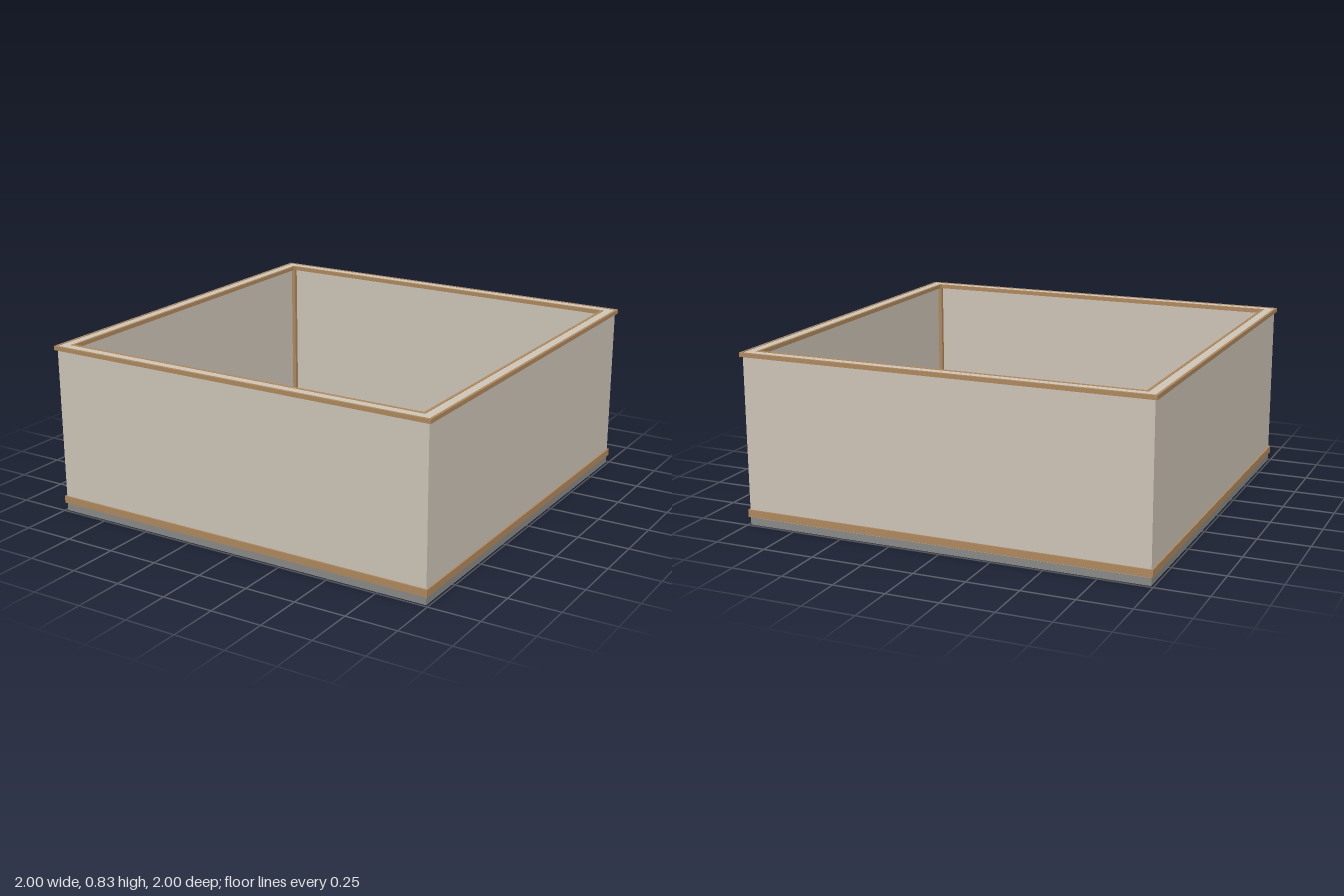
import * as THREE from 'three';

const mat = (name, color) => {
  const m = new THREE.MeshStandardMaterial({ color });
  m.name = name;
  return m;
};

export function createModel() {
  const plaster = mat('plaster', 0xcfc6b8);
  const wood = mat('wood', 0xb08a5f);
  const stone = mat('stone', 0x8a8a88);
  const group = new THREE.Group();

  const box = (name, material, w, h, d, x, y, z) => {
    const mesh = new THREE.Mesh(new THREE.BoxGeometry(w, h, d), material);
    mesh.name = name;
    mesh.position.set(x, y, z);
    group.add(mesh);
  };

  // Square frame between two half-widths, standing from y0 to y1
  const square = (path, r) => {
    path.moveTo(-r, -r);
    path.lineTo(r, -r);
    path.lineTo(r, r);
    path.lineTo(-r, r);
    path.closePath();
    return path;
  };
  const frame = (name, material, outer, inner, y0, y1) => {
    const shape = square(new THREE.Shape(), outer);
    shape.holes.push(square(new THREE.Path(), inner));
    const geo = new THREE.ExtrudeGeometry(shape, { depth: y1 - y0, bevelEnabled: false });
    geo.rotateX(-Math.PI / 2);
    geo.translate(0, y0, 0);
    const mesh = new THREE.Mesh(geo, material);
    mesh.name = name;
    group.add(mesh);
  };

  // Base slab and floor boards
  box('foundation', stone, 1.976, 0.036, 1.976, 0, 0.018, 0);
  box('floor', wood, 1.89, 0.008, 1.89, 0, 0.04, 0);

  // Four walls as one ring
  frame('walls', plaster, 0.988, 0.944, 0.036, 0.828);

  // Trim outside and inside, at the foot and the head of the walls
  frame('outerBaseTrim', wood, 0.996, 0.988, 0.04, 0.075);
  frame('outerTopTrim', wood, 1, 0.988, 0.81, 0.83);
  frame('innerBaseTrim', wood, 0.944, 0.931, 0.044, 0.075);
  frame('innerTopTrim', wood, 0.944, 0.931, 0.81, 0.83);

  // Upright trim in the inner corners
  for (const sx of [-1, 1]) {
    for (const sz of [-1, 1]) {
      box('cornerPost', wood, 0.02, 0.782, 0.02, sx * 0.934, 0.435, sz * 0.934);
    }
  }

  return group;
}
